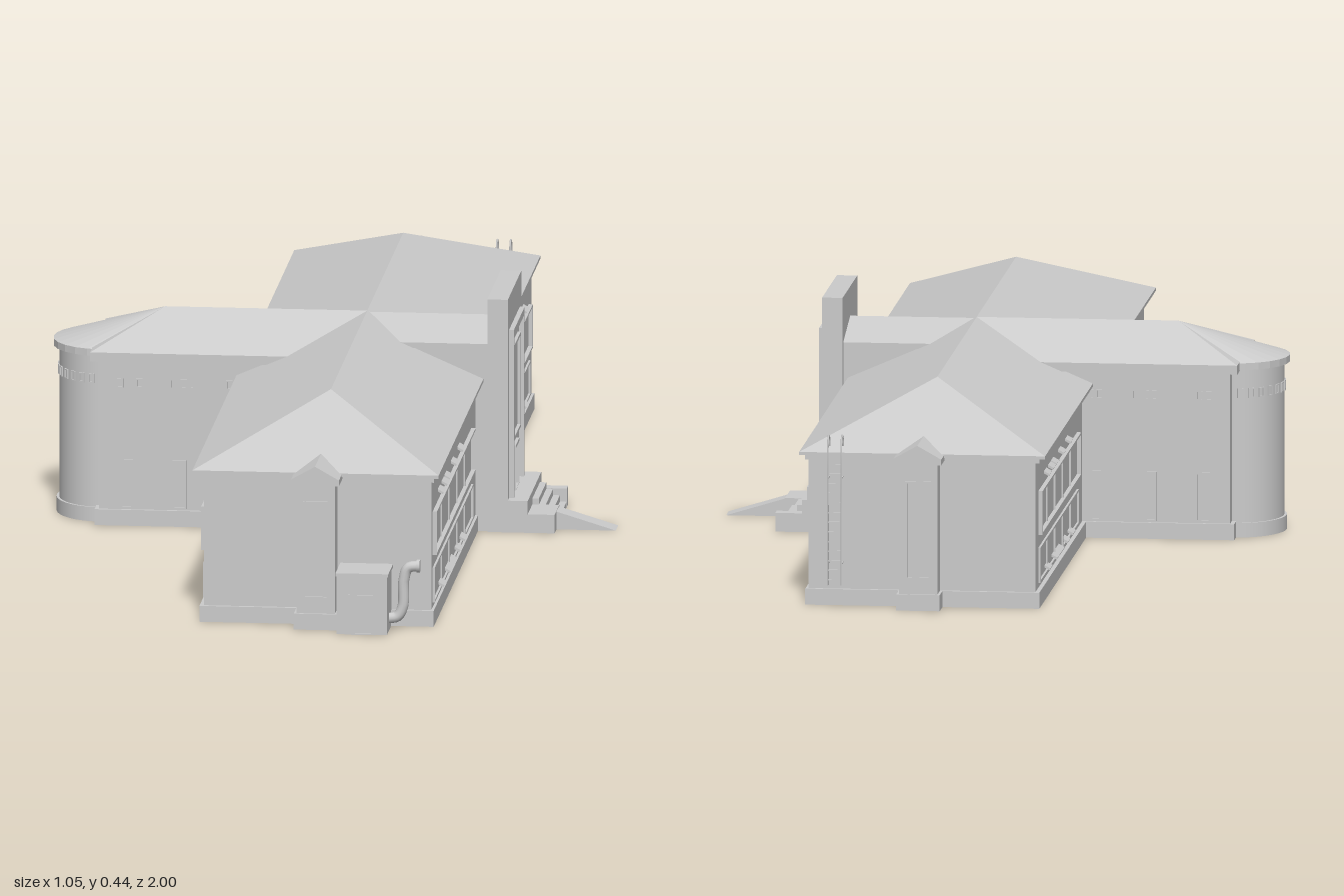
import * as THREE from 'three';
import { ConvexGeometry } from 'three/addons/geometries/ConvexGeometry.js';

const mat = new THREE.MeshStandardMaterial({ color: 0xcccccc });
const MID = -0.015; // z of the cross axis
const RIDGE = 0.055; // x of the main ridge

export function createModel() {
  const root = new THREE.Group();

  const add = (name, geo, parent = root) => {
    const mesh = new THREE.Mesh(geo, mat);
    mesh.name = name;
    parent.add(mesh);
    return mesh;
  };
  // box given by its limits on each axis
  const box = (name, x0, x1, y0, y1, z0, z1, parent) => {
    const m = add(name, new THREE.BoxGeometry(x1 - x0, y1 - y0, z1 - z0), parent);
    m.position.set((x0 + x1) / 2, (y0 + y1) / 2, (z0 + z1) / 2);
    return m;
  };
  const hull = (name, pts, parent) =>
    add(name, new ConvexGeometry(pts.map((p) => new THREE.Vector3(...p))), parent);
  // rectangular slab corners, used for eaves
  const slab = (x0, x1, y0, y1, z0, z1) => {
    const pts = [];
    for (const x of [x0, x1]) for (const y of [y0, y1]) for (const z of [z0, z1]) pts.push([x, y, z]);
    return pts;
  };
  // open rectangular frame in the xy plane, thickness along z
  const frameGeo = (w, h, border, depth) => {
    const rect = (P, a, b) => new P().moveTo(-a, -b).lineTo(a, -b).lineTo(a, b).lineTo(-a, b).closePath();
    const s = rect(THREE.Shape, w / 2, h / 2);
    s.holes.push(rect(THREE.Path, w / 2 - border, h / 2 - border));
    return new THREE.ExtrudeGeometry(s, { depth, bevelEnabled: false });
  };

  // long main block with hipped roof
  box('mainWalls', -0.155, 0.267, 0, 0.285, -0.935, 0.91);
  box('mainPlinth', -0.163, 0.272, 0, 0.03, -0.942, 0.917);
  box('mainCornice', -0.163, 0.272, 0.272, 0.285, -0.942, 0.914);
  hull('mainRoof', [
    ...slab(-0.175, 0.282, 0.282, 0.288, -0.955, 0.925),
    [RIDGE, 0.387, -0.68], [RIDGE, 0.387, 0.655],
  ]);

  // wing on the right with a rounded end
  box('wingWalls', -0.43, 0, 0, 0.315, MID - 0.128, MID + 0.128);
  box('wingPlinth', -0.438, 0, 0, 0.03, MID - 0.134, MID + 0.134);
  hull('wingRoof', [
    ...slab(-0.445, RIDGE, 0.312, 0.329, MID - 0.145, MID + 0.145),
    [-0.32, 0.387, MID], [RIDGE, 0.387, MID],
  ]);
  const round = (name, y0, y1, rx, rz) => {
    const m = add(name, new THREE.CylinderGeometry(1, 1, y1 - y0, 40, 1, false, Math.PI, Math.PI));
    m.scale.set(rx, 1, rz);
    m.position.set(-0.43, (y0 + y1) / 2, MID);
  };
  round('apseWall', 0, 0.315, 0.086, 0.1);
  round('apsePlinth', 0, 0.027, 0.091, 0.104);
  const arc = [[-0.32, 0.387, MID], [-0.35, 0.312, MID]];
  for (let i = 0; i <= 12; i++) {
    const a = Math.PI / 2 + (i / 12) * Math.PI;
    for (const y of [0.314, 0.327]) arc.push([-0.43 + 0.097 * Math.cos(a), y, MID + 0.108 * Math.sin(a)]);
  }
  hull('apseRoof', arc);

  // wing windows, on both long walls
  for (const s of [-1, 1]) {
    for (const x of [-0.38, -0.28, -0.177]) {
      const tall = add('tallWindow', frameGeo(0.026, 0.092, 0.003, 0.006));
      tall.position.set(x, 0.079, MID + s * 0.128 - 0.003);
      for (const dx of [-0.018, 0, 0.018]) {
        const small = add('smallWindow', frameGeo(0.012, 0.017, 0.002, 0.004));
        small.position.set(x + 0.007 + dx, 0.269, MID + s * 0.128 - 0.002);
      }
    }
  }
  for (let i = 0; i < 13; i++) {
    const a = Math.PI * (0.56 + (0.88 * i) / 12);
    const w = add('apseWindow', frameGeo(0.011, 0.018, 0.002, 0.003));
    w.position.set(-0.43 + 0.086 * Math.cos(a), 0.27, MID + 0.1 * Math.sin(a));
    w.rotation.y = Math.atan2(Math.cos(a) / 0.086, Math.sin(a) / 0.1);
  }

  // ribbon windows with tilted panes on both long facades
  const facade = (x, side, z0, z1, zs) => {
    const g = new THREE.Group();
    g.name = 'ribbonWindows';
    root.add(g);
    const zc = (zs * (z0 + z1)) / 2;
    const len = z1 - z0;
    for (const [y, h] of [[0.17, 0.082], [0.072, 0.066]]) {
      const f = add('ribbonFrame', frameGeo(len, h, 0.004, y > 0.1 ? 0.008 : 0.004), g);
      f.position.set(x, y, zc);
      f.rotation.y = (side * Math.PI) / 2;
      for (let i = 1; i < 5; i++) {
        const z = zc - len / 2 + (len * i) / 5;
        box('mullion', x - 0.003, x + 0.003, y - h / 2, y + h / 2, z - 0.002, z + 0.002, g);
      }
    }
    const panes = [[0.228, 0.77], [0.228, 0.7], [0.228, 0.65], [0.228, 0.53], [0.228, 0.41],
      [0.05, 0.76], [0.05, 0.64], [0.05, 0.6], [0.05, 0.56], [0.05, 0.46], [0.05, 0.37]];
    for (const [y, z] of panes) {
      const p = box('tiltedPane', x - 0.003, x + 0.011, y - 0.002, y + 0.002, zs * z - 0.02, zs * z + 0.02, g);
      if (side < 0) p.position.x -= 0.008;
      p.rotation.z = -side * 0.5;
    }
  };
  for (const zs of [-1, 1]) {
    facade(0.267, 1, 0.17, 0.885, zs);
    facade(-0.155, -1, 0.23, 0.885, zs);
  }

  // entrance block, tall slab and surround on the left
  box('entranceLink', 0.1, 0.295, 0, 0.355, MID - 0.113, MID + 0.113);
  hull('entranceRoof', [
    ...slab(RIDGE, 0.295, 0.345, 0.355, MID - 0.118, MID + 0.118),
    [RIDGE, 0.385, MID], [0.295, 0.385, MID],
  ]);
  box('entranceSlab', 0.29, 0.328, 0, 0.44, -0.145, 0.105);
  const frame = (name, w, h, y, border, depth) => {
    const m = add(name, frameGeo(w, h, border, depth));
    m.rotation.y = Math.PI / 2;
    m.position.set(0.328, y, MID - 0.003);
  };
  frame('entranceSurround', 0.2, 0.34, 0.208, 0.014, 0.009);
  frame('entranceWindow', 0.12, 0.18, 0.25, 0.006, 0.006);
  frame('entranceDoor', 0.07, 0.09, 0.1, 0.006, 0.006);

  // landing, stairs and ramp
  box('landing', 0.328, 0.365, 0, 0.06, -0.145, 0.105);
  box('rampLanding', 0.365, 0.415, 0, 0.035, 0.02, 0.105);
  box('stairCheek', 0.365, 0.415, 0, 0.035, -0.145, -0.12);
  for (let i = 0; i < 4; i++) box('stairStep', 0.365, 0.377 + i * 0.0125, 0, 0.046 - i * 0.012, -0.12, 0.02);
  hull('ramp', [
    [0.41, 0, 0.025], [0.41, 0, 0.07], [0.41, 0.035, 0.025],
    [0.41, 0.035, 0.07], [0.525, 0, 0.025], [0.525, 0, 0.07],
  ]);

  // gabled stair bay at each end
  for (const [s, wall, face, tip, back] of [[1, 0.9, 0.96, 0.975, 0.86], [-1, 0.92, 0.984, 1, 0.885]]) {
    const g = new THREE.Group();
    g.name = 'endBay';
    root.add(g);
    const zr = (a, b) => (s > 0 ? [a, b] : [-b, -a]);
    box('bayWalls', 0.022, 0.093, 0, 0.285, ...zr(wall, face), g);
    box('bayPlinth', 0.017, 0.098, 0, 0.03, ...zr(wall, face + 0.005), g);
    const w = add('bayWindow', frameGeo(0.048, 0.184, 0.004, 0.008), g);
    w.position.set(0.0575, 0.15, s * face - 0.004);
    const gable = new THREE.Shape();
    gable.moveTo(0.013, 0.275).lineTo(0.022, 0.275).lineTo(0.0575, 0.294).lineTo(0.093, 0.275)
      .lineTo(0.102, 0.275).lineTo(0.102, 0.286).lineTo(0.0575, 0.311).lineTo(0.013, 0.286).closePath();
    const roof = add('bayRoof', new THREE.ExtrudeGeometry(gable, { depth: tip - back, bevelEnabled: false }), g);
    roof.position.z = s > 0 ? back : -tip;
    hull('bayGable', [
      [0.024, 0.27, s * wall], [0.091, 0.27, s * wall], [0.0575, 0.297, s * wall],
      [0.024, 0.27, s * face], [0.091, 0.27, s * face], [0.0575, 0.297, s * face],
    ], g);
  }

  // service box with door and bent vent pipe
  box('serviceBox', 0.1, 0.193, 0, 0.11, 0.91, 0.996);
  box('serviceBoxLid', 0.098, 0.196, 0.11, 0.116, 0.91, 1);
  add('serviceDoor', frameGeo(0.05, 0.075, 0.003, 0.003)).position.set(0.146, 0.0375, 0.996);
  const path = new THREE.CatmullRomCurve3(
    [[0.19, 0.022], [0.208, 0.026], [0.218, 0.045], [0.22, 0.095], [0.228, 0.118], [0.248, 0.122]]
      .map(([x, y]) => new THREE.Vector3(x, y, 0.95)));
  add('ventPipe', new THREE.TubeGeometry(path, 30, 0.01, 12));
  const mouth = add('ventMouth', new THREE.CylinderGeometry(0.012, 0.012, 0.006, 12));
  mouth.rotation.z = Math.PI / 2;
  mouth.position.set(0.247, 0.122, 0.95);

  // roof ladder on the back wall
  const ladder = new THREE.Group();
  ladder.name = 'ladder';
  root.add(ladder);
  for (const x of [0.203, 0.228]) {
    const rail = new THREE.CatmullRomCurve3([[0.04, -0.96], [0.18, -0.96], [0.3, -0.96], [0.318, -0.95], [0.315, -0.935], [0.295, -0.93]]
      .map(([y, z]) => new THREE.Vector3(x, y, z)));
    add('ladderRail', new THREE.TubeGeometry(rail, 30, 0.0018, 6), ladder);
  }
  for (let i = 0; i < 14; i++) {
    const y = 0.05 + i * 0.018;
    box('ladderRung', 0.203, 0.228, y - 0.0012, y + 0.0012, -0.9612, -0.9588, ladder);
  }
  for (const y of [0.08, 0.24]) for (const x of [0.203, 0.228])
    box('ladderBracket', x - 0.001, x + 0.001, y - 0.001, y + 0.001, -0.96, -0.93, ladder);

  return root;
}
